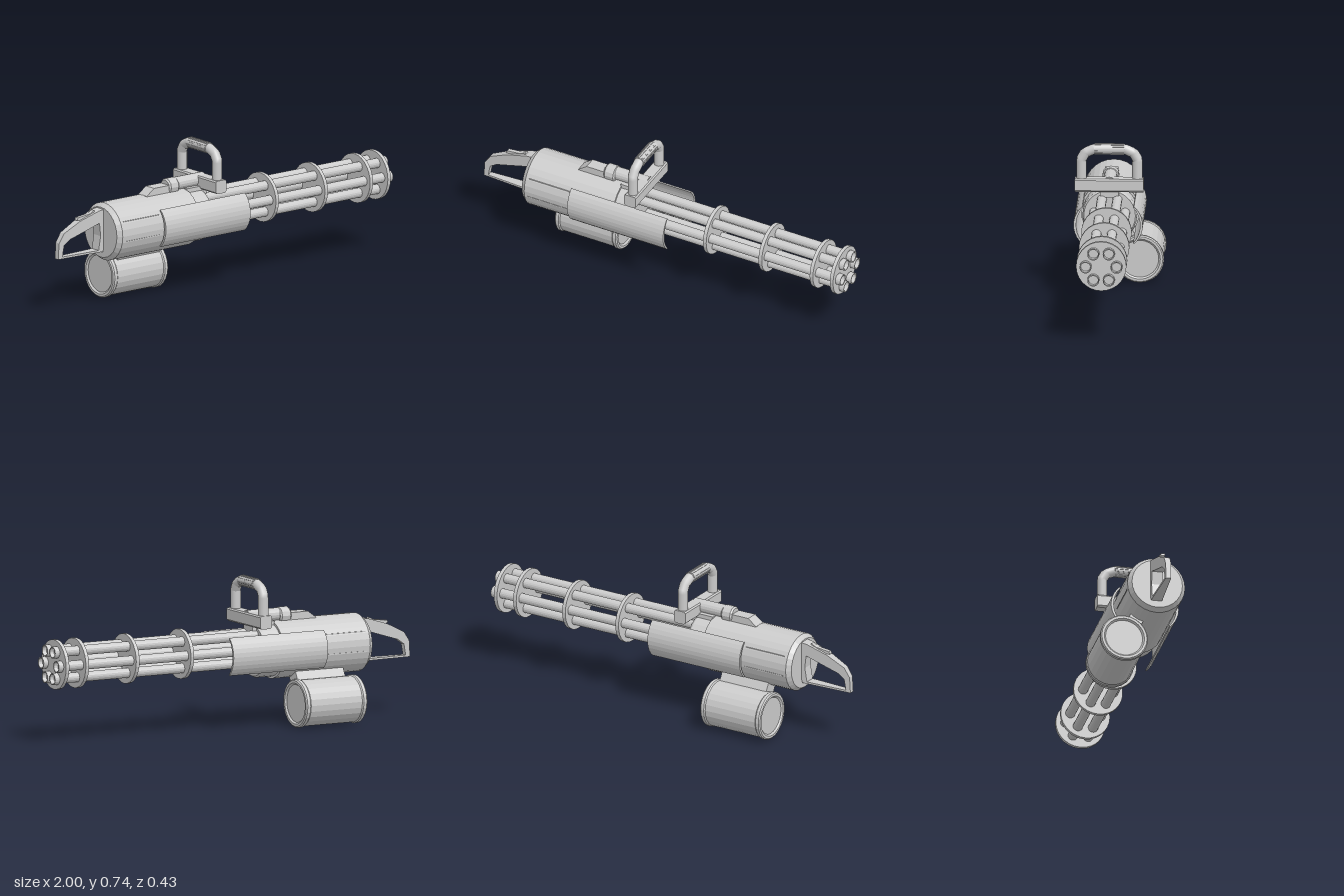
import * as THREE from 'three';

const AXIS_Z = 0.045, BODY_Y = 0.373, BARREL_Y = 0.388;

export function createModel() {
  const model = new THREE.Group();
  const flat = new THREE.MeshStandardMaterial({ color: 0xcccccc, flatShading: true });
  const smooth = new THREE.MeshStandardMaterial({ color: 0xcccccc });

  const add = (name, geometry, x = 0, y = 0, z = 0, material = flat) => {
    const mesh = new THREE.Mesh(geometry, material);
    mesh.name = name;
    mesh.position.set(x, y, z);
    model.add(mesh);
    return mesh;
  };
  // Solid of revolution along x from [x, radius] pairs
  const turned = (profile, sides = 24) =>
    new THREE.LatheGeometry(profile.map(([x, r]) => new THREE.Vector2(r, x)), sides).rotateZ(-Math.PI / 2);
  const polygon = (points) => new THREE.Shape(points.map(([x, y]) => new THREE.Vector2(x, y)));

  // Motor housing with bevelled rear and stepped front collar
  add('housing', turned([[-0.73, 0], [-0.73, 0.125], [-0.708, 0.143], [-0.228, 0.143], [-0.228, 0.132],
    [-0.145, 0.132], [-0.132, 0.125], [-0.132, 0]], 28), 0, BODY_Y, AXIS_Z);

  // Thin ribs along the housing sides
  for (const side of [-1, 1]) {
    for (const dy of [-0.028, 0.068]) {
      const dz = Math.sqrt(0.142 ** 2 - dy ** 2);
      add('housingRib', new THREE.BoxGeometry(0.22, 0.005, 0.006), -0.58, BODY_Y + dy, AXIS_Z + side * dz);
    }
  }

  // Curved side shrouds: arcs about an offset centre with tapered tips
  for (const side of [-1, 1]) {
    const outer = [], inner = [];
    for (let i = 0; i <= 10; i++) {
      const a = -0.865 + 1.73 * i / 10;
      const t = 0.122 - 0.004 - 0.009 * Math.cos(a * 1.5);
      outer.push([-side * (0.046 + 0.122 * Math.cos(a)), 0.122 * Math.sin(a)]);
      inner.unshift([-side * (0.046 + t * Math.cos(a)), t * Math.sin(a)]);
    }
    const shroud = new THREE.ExtrudeGeometry(polygon([...outer, ...inner]), { depth: 0.525, bevelEnabled: false });
    add('sideShroud', shroud.rotateY(Math.PI / 2), -0.46, BODY_Y, AXIS_Z);
  }

  // Six barrels with recessed muzzles
  const barrel = turned([[-0.15, 0], [-0.15, 0.024], [0.975, 0.024], [0.975, 0.029], [1, 0.029],
    [1, 0.024], [0.978, 0.023], [0.978, 0]], 18);
  for (let i = 0; i < 6; i++) {
    const a = i * Math.PI / 3;
    add('barrel', barrel, 0, BARREL_Y + 0.075 * Math.sin(a), AXIS_Z + 0.075 * Math.cos(a), flat);
  }

  // Discs clamping the barrels
  for (const x of [0.268, 0.572, 0.852, 0.962]) {
    add('barrelClamp', turned([[-0.009, 0], [-0.009, 0.122], [0.009, 0.122], [0.009, 0]], 28), x, BARREL_Y, AXIS_Z);
  }

  // Cross block carrying the top handle, bevelled along its lower edges
  const block = polygon([[-0.023, 0.5], [0.023, 0.5], [0.032, 0.508], [0.032, 0.558], [0.026, 0.565],
    [-0.026, 0.565], [-0.032, 0.558], [-0.032, 0.508]]);
  add('handleBlock', new THREE.ExtrudeGeometry(block, { depth: 0.332, bevelEnabled: false }), -0.117, 0, -0.12);
  add('blockSupport', new THREE.BoxGeometry(0.06, 0.04, 0.09), -0.14, 0.49, AXIS_Z);

  // Bent carrying handle
  const half = [[0.135, 0.55], [0.135, 0.66], [0.118, 0.69], [0.075, 0.709]];
  const points = [...half, ...half.slice().reverse().map(([z, y]) => [-z, y])];
  const path = new THREE.CurvePath();
  for (let i = 0; i < points.length - 1; i++) {
    const [p, q] = [points[i], points[i + 1]].map(([z, y]) => new THREE.Vector3(0, y, z));
    path.add(new THREE.LineCurve3(p, q));
  }
  add('carryHandle', new THREE.TubeGeometry(path, 48, 0.025, 14), -0.117, 0, AXIS_Z, smooth);

  // Ribbed grip sleeve
  const grip = new THREE.CylinderGeometry(0.026, 0.026, 0.15, 14).rotateX(Math.PI / 2);
  add('handleGrip', grip, -0.117, 0.709, AXIS_Z);
  for (let i = 0; i < 14; i++) {
    const a = i * Math.PI / 7;
    const rib = add('gripRib', new THREE.BoxGeometry(0.005, 0.004, 0.142),
      -0.117 + 0.026 * Math.sin(a), 0.709 + 0.026 * Math.cos(a), AXIS_Z);
    rib.rotation.z = -a;
  }

  // Drive tube on top with its cap and sloped fairing
  add('topTube', turned([[-0.28, 0], [-0.28, 0.032], [-0.1, 0.032], [-0.1, 0]], 16), 0, 0.541, AXIS_Z);
  add('topTubeCap', turned([[-0.332, 0], [-0.332, 0.034], [-0.324, 0.041], [-0.278, 0.041], [-0.27, 0.034],
    [-0.27, 0]], 12), 0, 0.535, AXIS_Z);
  const ramp = polygon([[-0.47, 0.5], [-0.3, 0.5], [-0.3, 0.548], [-0.425, 0.548], [-0.47, 0.515]]);
  add('topFairing', new THREE.ExtrudeGeometry(ramp, { depth: 0.064, bevelEnabled: false }), 0, 0, AXIS_Z - 0.032);
  add('topPlate', new THREE.BoxGeometry(0.08, 0.03, 0.09), -0.192, 0.502, AXIS_Z);

  // Ammunition drum with rims and dished ends
  add('drum', turned([[-0.622, 0], [-0.622, 0.092], [-0.63, 0.1], [-0.63, 0.112], [-0.624, 0.118], [-0.608, 0.118],
    [-0.602, 0.113], [-0.318, 0.113], [-0.312, 0.118], [-0.296, 0.118], [-0.29, 0.112],
    [-0.29, 0.1], [-0.298, 0.092], [-0.298, 0]], 24), 0, 0.12, -0.095);

  // Angled feed neck joining drum and housing
  const neck = add('feedNeck', new THREE.BoxGeometry(0.265, 0.12, 0.07), -0.45, 0.24, -0.029);
  neck.rotation.x = Math.atan2(0.14, 0.253);

  // Rear handle frame, thinning toward the back
  const frame = polygon([[-1, 0.28], [-0.735, 0.28], [-0.715, 0.36], [-0.715, 0.492], [-0.76, 0.486], [-0.87, 0.452],
    [-0.965, 0.405], [-0.995, 0.36]]);
  frame.holes.push(new THREE.Path([[-0.975, 0.29], [-0.965, 0.345], [-0.93, 0.37], [-0.84, 0.398], [-0.755, 0.425],
    [-0.748, 0.36], [-0.76, 0.29]].map(([x, y]) => new THREE.Vector2(x, y))));
  const rear = new THREE.ExtrudeGeometry(frame, { depth: 1, bevelEnabled: false }).translate(0, 0, -0.5);
  const pos = rear.attributes.position;
  for (let i = 0; i < pos.count; i++) {
    pos.setZ(i, pos.getZ(i) * (0.026 + 0.11 * (pos.getX(i) + 1)));
  }
  add('rearHandle', rear, 0, 0, 0.04);

  // Thumb lever on the rear handle
  const lever = polygon([[-0.88, 0.455], [-0.875, 0.468], [-0.8, 0.476], [-0.775, 0.49], [-0.765, 0.47], [-0.8, 0.45]]);
  add('thumbLever', new THREE.ExtrudeGeometry(lever, { depth: 0.02, bevelEnabled: false }), 0, 0, 0.03);

  return model;
}
